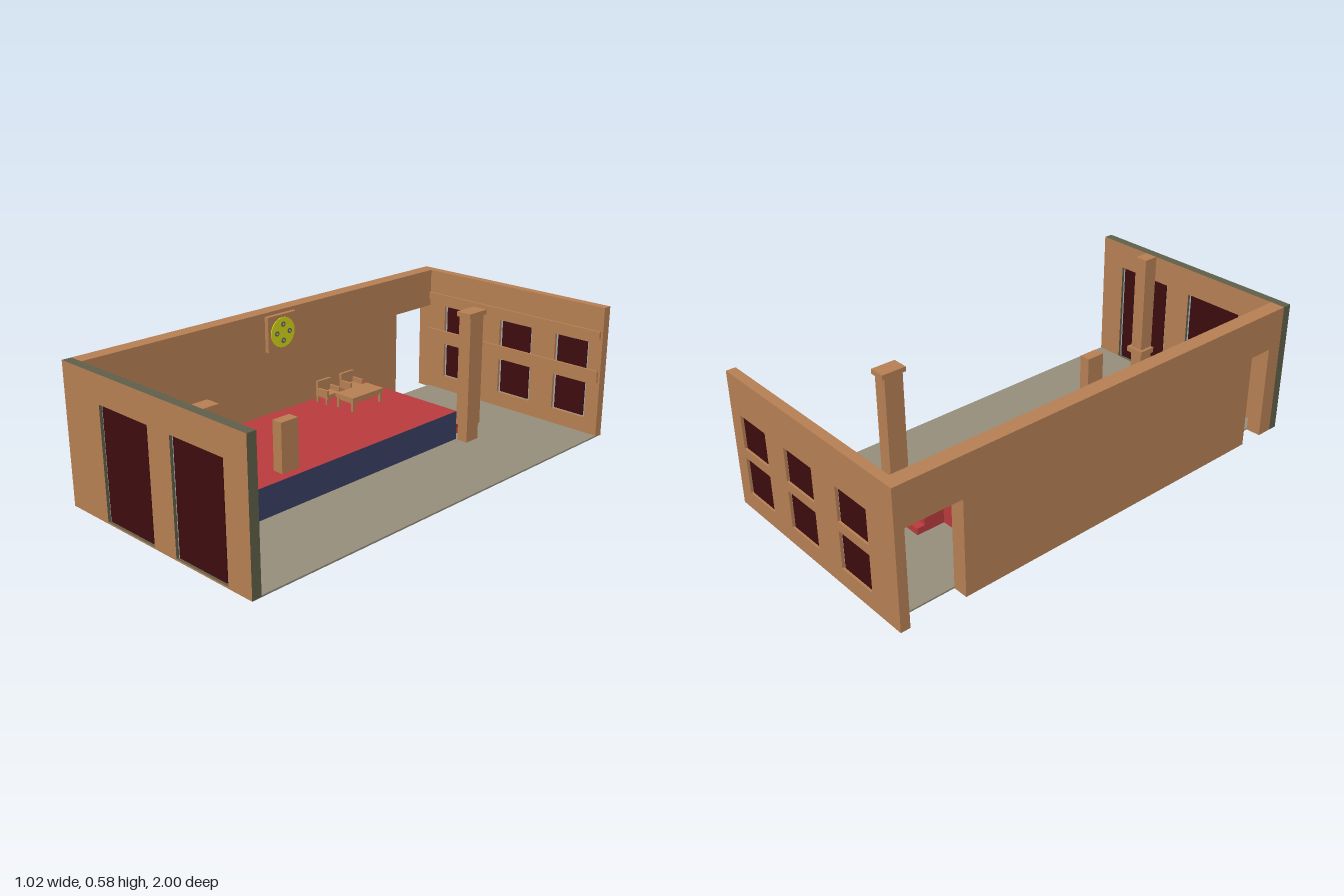
import * as THREE from 'three';

const mat = (name, color) => {
  const m = new THREE.MeshStandardMaterial({ color });
  m.name = name;
  return m;
};

export function createModel() {
  const root = new THREE.Group();
  root.name = 'hall';
  const wood = mat('woodBrown', 0xb57f53), red = mat('carpetRed', 0xb83a3d);
  const navy = mat('navy', 0x393e63), stone = mat('floorStone', 0x958d7b);
  const olive = mat('olive', 0x5f5f49), curtain = mat('curtainRed', 0x3d0c0e);
  const grey = mat('paneGrey', 0x9fa4aa), yellow = mat('yellow', 0xd2d216);

  // Box from its minimum and maximum corners
  const box = (name, m, x0, x1, y0, y1, z0, z1, parent = root) => {
    const mesh = new THREE.Mesh(new THREE.BoxGeometry(x1 - x0, y1 - y0, z1 - z0), m);
    mesh.position.set((x0 + x1) / 2, (y0 + y1) / 2, (z0 + z1) / 2);
    mesh.name = name;
    parent.add(mesh);
    return mesh;
  };
  const group = (name) => {
    const g = new THREE.Group();
    g.name = name;
    root.add(g);
    return g;
  };
  const poly = (pts) => pts.map(([x, y]) => new THREE.Vector2(x, y));
  const rect = (x0, x1, y0, y1) => poly([[x0, y0], [x1, y0], [x1, y1], [x0, y1]]);
  const extrude = (shape, depth) => new THREE.ExtrudeGeometry(shape, { depth, bevelEnabled: false });

  // End wall with window openings, each filled by a pane and curtains
  const endWall = (name, z, windows, mats) => {
    const g = group(name);
    const shape = new THREE.Shape(rect(-0.51, 0.51, 0, 0.58));
    for (const w of windows) shape.holes.push(new THREE.Path(rect(...w)));
    const wall = new THREE.Mesh(extrude(shape, 0.04), mats);
    wall.position.z = z;
    wall.name = name + 'Panel';
    g.add(wall);
    for (const [x0, x1, y0, y1] of windows) {
      box('windowPane', grey, x0, x1, y0, y1, z + 0.012, z + 0.028, g);
      const e = 0.012, f = 0.005;
      box('curtain', curtain, x0 + e, x1 - e, y0 + f, y1 - f, z + 0.028, z + 0.034, g);
      box('curtain', curtain, x0 + e, x1 - e, y0 + f, y1 - f, z + 0.006, z + 0.012, g);
    }
    return g;
  };
  endWall('frontWall', 0.96, [[-0.29, -0.008, 0.007, 0.465], [0.115, 0.392, 0.007, 0.465]], [wood, olive]);
  const backWindows = [];
  for (const [x0, x1] of [[-0.355, -0.175], [-0.03, 0.148], [0.272, 0.445]])
    backWindows.push([x0, x1, 0.275, 0.42], [x0, x1, 0.075, 0.235]);
  const back = endWall('backWall', -1, backWindows, [wood, wood]);
  box('upperLedge', wood, -0.445, 0.5, 0.44, 0.475, -0.961, -0.95, back);
  box('lowerLedge', wood, -0.445, 0.5, 0.25, 0.3, -0.961, -0.95, back);

  // Long side wall with two doorways
  const side = extrude(new THREE.Shape(poly([
    [-0.96, 0.41], [-0.72, 0.41], [-0.72, 0], [0.78, 0], [0.78, 0.41],
    [0.89, 0.41], [0.89, 0], [0.96, 0], [0.96, 0.58], [-0.96, 0.58],
  ])), 0.065);
  side.rotateY(-Math.PI / 2);
  const sideWall = new THREE.Mesh(side, wood);
  sideWall.position.x = -0.445;
  sideWall.name = 'sideWall';
  root.add(sideWall);

  box('floor', stone, -0.445, 0.51, 0, 0.007, -0.96, 0.96);

  // Stage with a dark long side, and steps at both ends
  const stage = box('stage', red, -0.445, 0.1, 0.007, 0.135, -0.51, 0.63);
  stage.material = [navy, red, red, red, red, red];
  [0.105, 0.07, 0.037].forEach((y, i) => {
    const a = [0.66, 0.695, 0.73][i], b = [-0.555, -0.6, -0.635][i];
    box('frontStep', red, -0.12, 0.06, 0.007, y, 0.63 + i * 0.033, a);
    box('backStep', red, -0.12, 0.06, 0.007, y, b, -0.51 - i * 0.045);
  });

  // Free-standing column
  const column = group('column');
  box('columnBase', wood, 0.11, 0.16, 0.007, 0.08, -0.582, -0.508, column);
  box('columnShaft', wood, 0.105, 0.165, 0.08, 0.56, -0.585, -0.502, column);
  box('columnCap', wood, 0.1, 0.17, 0.56, 0.58, -0.597, -0.49, column);

  // Pier standing against the front wall
  const pier = group('pier');
  box('pierShaft', wood, 0.19, 0.25, 0.007, 0.58, 0.893, 0.96, pier);
  box('pierLedge', wood, 0.175, 0.265, 0.11, 0.135, 0.88, 0.96, pier);

  // Four legs under a seat or table
  const legs = (g, x0, x1, y0, y1, z0, z1, t) => {
    for (const x of [x0, x1 - t]) for (const z of [z0, z1 - t])
      box('leg', wood, x, x + t, y0, y1, z, z + t, g);
  };

  // Armchairs facing the table
  for (const z of [-0.355, -0.213]) {
    const g = group('armchair');
    box('seat', wood, -0.41, -0.348, 0.16, 0.178, z - 0.035, z + 0.035, g);
    box('backrest', wood, -0.415, -0.402, 0.16, 0.23, z - 0.04, z + 0.04, g);
    for (const s of [-1, 1])
      box('armrest', wood, -0.402, -0.345, 0.165, 0.2, z + s * 0.036 - 0.005, z + s * 0.036 + 0.005, g);
    legs(g, -0.413, -0.347, 0.135, 0.162, z - 0.04, z + 0.04, 0.01);
  }

  // Low table
  const table = group('table');
  box('tableTop', wood, -0.308, -0.205, 0.18, 0.198, -0.377, -0.187, table);
  box('tableRail', wood, -0.298, -0.215, 0.168, 0.18, -0.367, -0.197, table);
  legs(table, -0.304, -0.209, 0.135, 0.181, -0.373, -0.191, 0.012);

  box('lectern', wood, 0.012, 0.06, 0.135, 0.34, 0.373, 0.458);

  // Desk beside the stage, with two stools
  const desk = group('desk');
  box('deskTop', wood, -0.42, -0.16, 0.095, 0.11, 0.632, 0.725, desk);
  for (const x of [-0.415, -0.18])
    box('deskSide', wood, x, x + 0.015, 0.007, 0.095, 0.636, 0.72, desk);
  for (const [x, m] of [[-0.355, red], [-0.23, wood]]) {
    box('stoolBody', grey, x - 0.025, x + 0.025, 0.007, 0.075, 0.735, 0.775, desk);
    box('stoolSeat', m, x - 0.027, x + 0.027, 0.075, 0.082, 0.727, 0.778, desk);
  }

  // Wall panel with a round dial
  const dial = group('wallDial');
  box('dialPanel', wood, -0.446, -0.425, 0.412, 0.565, -0.072, 0.085, dial);
  const disc = (name, m, r, x, y, z) => {
    const d = new THREE.Mesh(new THREE.CylinderGeometry(r, r, 0.004, 24), m);
    d.rotation.z = -Math.PI / 2;
    d.position.set(x, y, z);
    d.name = name;
    dial.add(d);
  };
  disc('dialFace', yellow, 0.065, -0.423, 0.488, 0.006);
  for (let i = 0; i < 4; i++) {
    const a = i * Math.PI / 2;
    const y = 0.488 + 0.035 * Math.cos(a), z = 0.006 + 0.035 * Math.sin(a);
    disc('dialMark', olive, 0.011, -0.42, y, z);
    disc('dialMarkCentre', grey, 0.005, -0.418, y, z);
  }
  return root;
}
